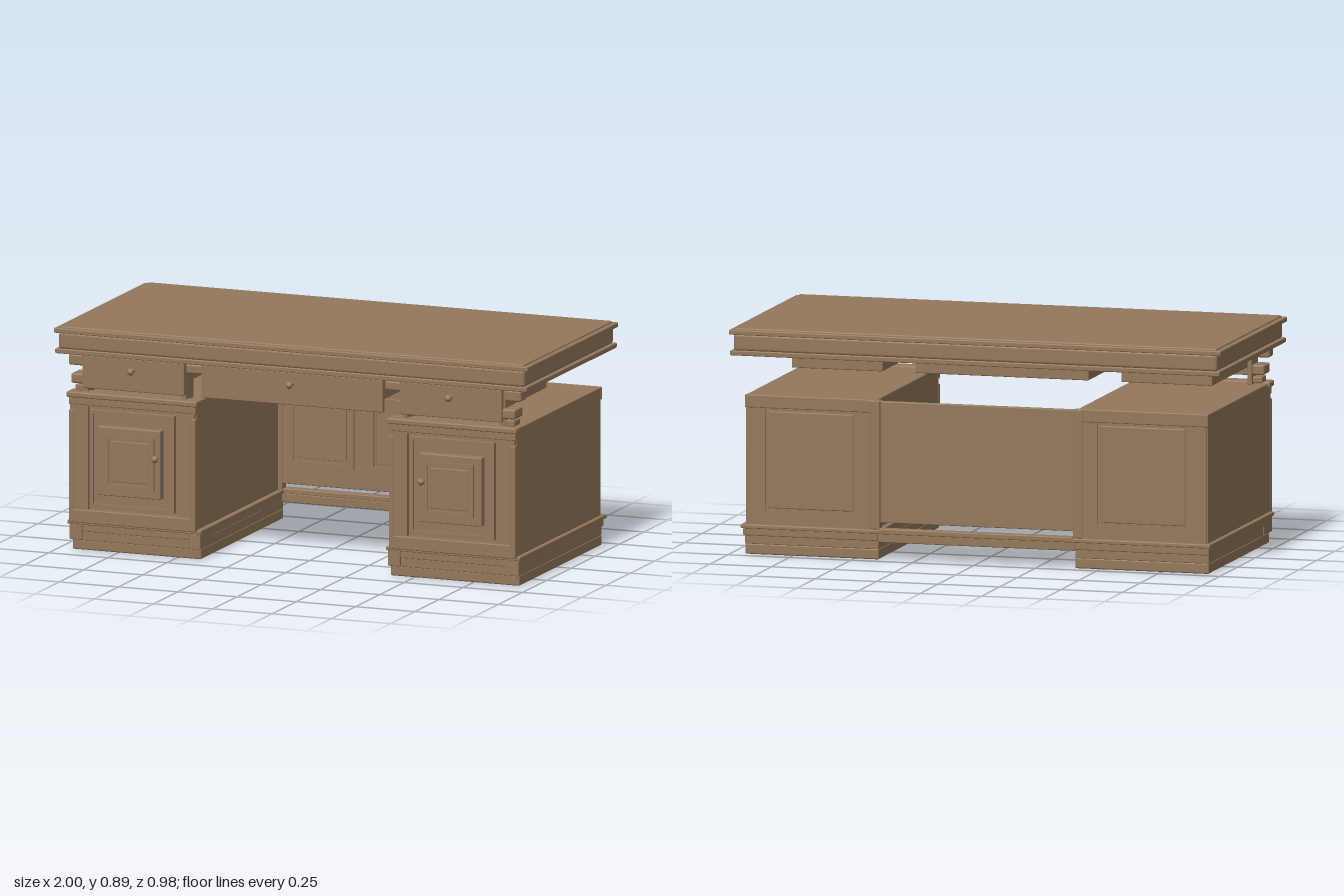
import * as THREE from 'three';
import { RoundedBoxGeometry } from 'three/addons/geometries/RoundedBoxGeometry.js';

const wood = new THREE.MeshStandardMaterial({ color: 0x94785c });
wood.name = 'wood';

function add(parent, name, geometry) {
  const mesh = new THREE.Mesh(geometry, wood);
  mesh.name = name;
  parent.add(mesh);
  return mesh;
}

// Softly rounded block given by its limits on each axis
function block(parent, name, [x0, x1], [y0, y1], [z0, z1], r = 0.004) {
  const w = x1 - x0, h = y1 - y0, d = z1 - z0;
  const mesh = add(parent, name, new RoundedBoxGeometry(w, h, d, 2, Math.min(r, Math.min(w, h, d) * 0.4)));
  mesh.position.set((x0 + x1) / 2, (y0 + y1) / 2, (z0 + z1) / 2);
  return mesh;
}

// Flat rectangular frame with an opening, from z0 to z1
function frame(parent, name, [x0, x1], [y0, y1], [z0, z1], [hx0, hx1], [hy0, hy1]) {
  const rect = (p, a, b, c, d) => p.moveTo(a, c).lineTo(b, c).lineTo(b, d).lineTo(a, d).closePath();
  const shape = rect(new THREE.Shape(), x0, x1, y0, y1);
  shape.holes.push(rect(new THREE.Path(), hx0, hx1, hy0, hy1));
  const mesh = add(parent, name, new THREE.ExtrudeGeometry(shape, { depth: z1 - z0, bevelEnabled: false }));
  mesh.position.z = z0;
  return mesh;
}

// Round pull on a short stem
function knob(parent, x, y, zFace, zTip) {
  const r = 0.014;
  const stem = add(parent, 'knobStem', new THREE.CylinderGeometry(0.007, 0.009, zTip - r - zFace, 16));
  stem.rotation.x = Math.PI / 2;
  stem.position.set(x, y, (zFace + zTip - r) / 2);
  add(parent, 'knob', new THREE.SphereGeometry(r, 20, 14)).position.set(x, y, zTip - r);
}

// Drawer: front plate, open tray behind it and a knob
function drawer(parent, x0, x1) {
  const g = new THREE.Group();
  g.name = 'drawer';
  parent.add(g);
  const t = 0.012, a = x0 + 0.03, b = x1 - 0.03;
  block(g, 'drawerFront', [x0, x1], [0.655, 0.786], [0.41, 0.435]);
  block(g, 'drawerFloor', [a, b], [0.688, 0.7], [-0.107, 0.412]);
  block(g, 'drawerBack', [a, b], [0.69, 0.772], [-0.107, -0.095]);
  block(g, 'drawerSide', [a, a + t], [0.69, 0.772], [-0.105, 0.412]);
  block(g, 'drawerSide', [b - t, b], [0.69, 0.772], [-0.105, 0.412]);
  knob(g, (x0 + x1) / 2, 0.74, 0.435, 0.476);
}

// Panelled cupboard door
function door(parent) {
  const g = new THREE.Group();
  g.name = 'door';
  parent.add(g);
  block(g, 'doorSlab', [0.5, 0.85], [0.185, 0.567], [0.41, 0.426]);
  frame(g, 'doorRim', [0.497, 0.853], [0.182, 0.57], [0.412, 0.436], [0.512, 0.838], [0.197, 0.555]);
  block(g, 'raisedField', [0.545, 0.81], [0.238, 0.512], [0.42, 0.459]);
  frame(g, 'fieldMoulding', [0.57, 0.778], [0.272, 0.483], [0.455, 0.466], [0.585, 0.763], [0.287, 0.468]);
  block(g, 'centrePanel', [0.594, 0.754], [0.296, 0.459], [0.45, 0.463], 0.003);
  knob(g, 0.562, 0.402, 0.459, 0.49);
}

// Right-hand layout in +x; the other pedestal is turned out by mirroring
function pedestal() {
  const g = new THREE.Group();
  g.name = 'pedestal';
  // Carcass and stepped plinth
  block(g, 'carcass', [0.41, 0.94], [0.11, 0.63], [-0.456, 0.414]);
  block(g, 'plinthFoot', [0.4, 0.943], [0, 0.042], [-0.456, 0.394], 0.006);
  block(g, 'plinthStep', [0.4, 0.943], [0.04, 0.078], [-0.456, 0.404]);
  block(g, 'plinthMoulding', [0.4, 0.947], [0.075, 0.106], [-0.47, 0.406]);
  block(g, 'plinthLip', [0.39, 0.955], [0.104, 0.12], [-0.48, 0.418]);
  for (const x of [[0.395, 0.447], [0.895, 0.948]])
    block(g, 'cornerBlock', x, [0.042, 0.106], [0.3, 0.414]);
  // Front face frame, pilasters and cap
  frame(g, 'faceFrame', [0.413, 0.937], [0.115, 0.615], [0.41, 0.43], [0.485, 0.862], [0.17, 0.582]);
  for (const x of [[0.408, 0.428], [0.92, 0.942]])
    block(g, 'pilaster', x, [0.115, 0.565], [0.41, 0.435]);
  block(g, 'frontRail', [0.41, 0.94], [0.115, 0.168], [0.41, 0.434]);
  block(g, 'frontFrieze', [0.408, 0.942], [0.585, 0.616], [0.4, 0.432]);
  block(g, 'frontCap', [0.4, 0.95], [0.614, 0.637], [0.375, 0.441], 0.006);
  door(g);
  // Back face with flat panel, inner pilaster and cap strip
  frame(g, 'backFrame', [0.414, 0.936], [0.12, 0.625], [-0.461, -0.455], [0.492, 0.858], [0.175, 0.578]);
  block(g, 'backPanel', [0.502, 0.848], [0.185, 0.568], [-0.46, -0.45]);
  block(g, 'backPilaster', [0.393, 0.432], [0.12, 0.628], [-0.466, -0.425]);
  block(g, 'backCap', [0.41, 0.942], [0.58, 0.631], [-0.464, -0.45]);
  // Supports and brackets beside the drawer
  for (const x of [[0.457, 0.475], [0.872, 0.89]])
    block(g, 'drawerSupport', x, [0.63, 0.788], [0.328, 0.41]);
  block(g, 'upperBracket', [0.88, 0.955], [0.736, 0.78], [0.35, 0.407], 0.008);
  block(g, 'lowerBracket', [0.88, 0.937], [0.668, 0.708], [0.338, 0.424], 0.008);
  block(g, 'bracketFoot', [0.872, 0.927], [0.636, 0.66], [0.345, 0.405]);
  block(g, 'innerBracket', [0.38, 0.462], [0.74, 0.778], [0.35, 0.407], 0.008);
  drawer(g, 0.455, 0.885);
  return g;
}

// Mirror a group in x by reflecting its geometry and restoring face order
function mirrored(group) {
  const out = new THREE.Group();
  out.name = group.name;
  group.updateMatrixWorld(true);
  group.traverse((o) => {
    if (!o.isMesh) return;
    let geo = o.geometry.clone().applyMatrix4(o.matrixWorld);
    geo.applyMatrix4(new THREE.Matrix4().makeScale(-1, 1, 1));
    if (geo.index) geo = geo.toNonIndexed();
    for (const key of ['position', 'normal']) {
      const a = geo.attributes[key];
      for (let i = 0; i < a.count; i += 3) {
        const [x, y, z] = [a.getX(i), a.getY(i), a.getZ(i)];
        a.setXYZ(i, a.getX(i + 2), a.getY(i + 2), a.getZ(i + 2));
        a.setXYZ(i + 2, x, y, z);
      }
    }
    add(out, o.name, geo);
  });
  return out;
}

export function createModel() {
  const desk = new THREE.Group();
  desk.name = 'desk';

  // Stepped tabletop
  const top = new THREE.Group();
  top.name = 'tabletop';
  desk.add(top);
  block(top, 'lowerLip', [-0.995, 0.995], [0.786, 0.806], [-0.487, 0.446]);
  block(top, 'apron', [-0.983, 0.983], [0.803, 0.872], [-0.482, 0.442], 0.012);
  block(top, 'upperLip', [-1, 1], [0.868, 0.887], [-0.49, 0.449]);
  block(top, 'writingSurface', [-0.98, 0.98], [0.88, 0.894], [-0.477, 0.437], 0.006);

  // Pedestals with their drawers, and the centre drawer
  const left = pedestal();
  desk.add(left, mirrored(left));
  drawer(desk, -0.383, 0.383);

  // Modesty panel between the pedestals with two framed fields
  block(desk, 'modestyPanel', [-0.41, 0.41], [0.145, 0.625], [-0.452, -0.43]);
  for (const x of [-0.228, 0.112]) {
    frame(desk, 'panelFrame', [x - 0.138, x + 0.138], [0.222, 0.55], [-0.432, -0.422],
      [x - 0.118, x + 0.118], [0.242, 0.53]);
    block(desk, 'panelField', [x - 0.106, x + 0.106], [0.254, 0.518], [-0.432, -0.424], 0.002);
  }
  block(desk, 'bottomRail', [-0.4, 0.4], [0.07, 0.106], [-0.468, -0.436]);
  block(desk, 'bottomRailLip', [-0.395, 0.395], [0.104, 0.125], [-0.478, -0.436]);
  return desk;
}
